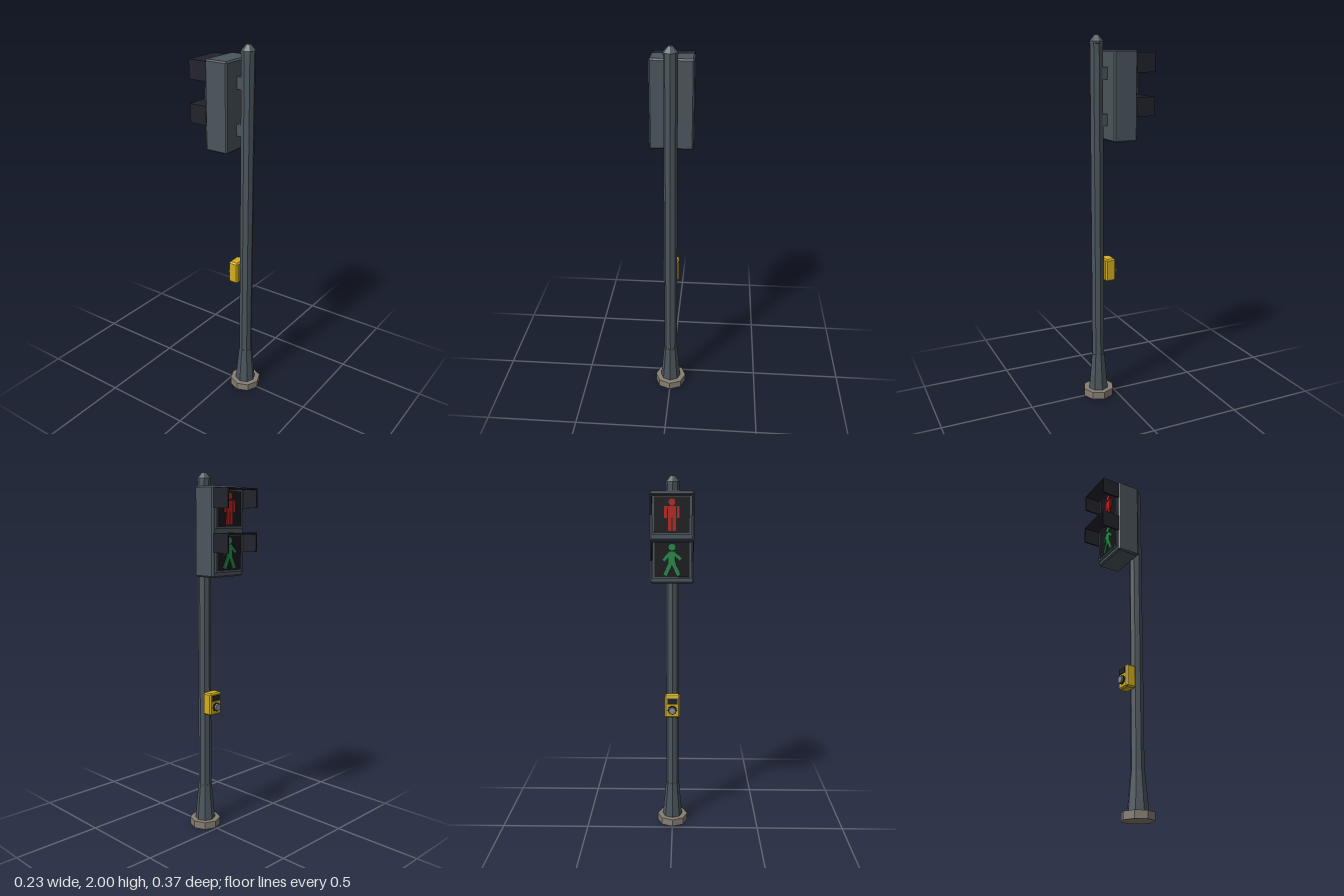
import * as THREE from 'three';
import { ConvexGeometry } from 'three/addons/geometries/ConvexGeometry.js';

function material(name, color) {
  const m = new THREE.MeshStandardMaterial({ color });
  m.name = name;
  return m;
}

// Box with every edge chamfered by c
function chamferBox(w, h, d, c) {
  const points = [];
  for (const x of [-1, 1]) for (const y of [-1, 1]) for (const z of [-1, 1]) {
    for (let axis = 0; axis < 3; axis++) {
      const inset = [0, 1, 2].map((i) => (i === axis ? 0 : c));
      points.push(new THREE.Vector3(x * (w / 2 - inset[0]), y * (h / 2 - inset[1]), z * (d / 2 - inset[2])));
    }
  }
  return new ConvexGeometry(points);
}

// Octagonal faceted cylinder
function octagon(rTop, rBottom, h) {
  return new THREE.CylinderGeometry(rTop, rBottom, h, 8).toNonIndexed();
}

export function createModel() {
  const model = new THREE.Group();
  model.name = 'pedestrianSignal';

  const steel = material('steel grey', 0x4a555c);
  const dark = material('hood black', 0x22222d);
  const lens = material('lens black', 0x17171c);
  const concrete = material('concrete', 0x857e73);
  const yellow = material('yellow', 0xd2ae1e);
  const silver = material('silver', 0x8c8f92);
  const red = material('signal red', 0xb5221f);
  const green = material('signal green', 0x238a48);

  function add(parent, name, geometry, mat, x = 0, y = 0, z = 0) {
    geometry.computeVertexNormals();
    const mesh = new THREE.Mesh(geometry, mat);
    mesh.name = name;
    mesh.position.set(x, y, z);
    parent.add(mesh);
    return mesh;
  }
  const box = (w, h, d) => new THREE.BoxGeometry(w, h, d);

  // Post
  const post = new THREE.Group();
  post.name = 'post';
  post.position.z = 0.097;
  model.add(post);
  add(post, 'footing', octagon(0.0875, 0.0875, 0.042), concrete, 0, 0.021);
  add(post, 'postSleeve', octagon(0.038, 0.057, 0.208), steel, 0, 0.146);
  add(post, 'pole', octagon(0.036, 0.036, 1.73), steel, 0, 1.105);
  add(post, 'capRim', octagon(0.038, 0.038, 0.012), steel, 0, 1.964);
  add(post, 'capTip', octagon(0.012, 0.038, 0.03), steel, 0, 1.985);

  // Signal head, turned so its local +z faces the lamps' side
  const head = new THREE.Group();
  head.name = 'signalHead';
  head.rotation.y = Math.PI;
  model.add(head);
  add(head, 'housing', chamferBox(0.228, 0.466, 0.133, 0.008), steel, 0, 1.693, 0.0185);
  for (const y of [1.81, 1.57]) add(head, 'bracket', box(0.054, 0.062, 0.04), steel, 0, y, -0.06);

  // Limb or torso bar between two points of a figure
  function bar(parent, name, mat, x1, y1, x2, y2, width) {
    const length = Math.hypot(x2 - x1, y2 - y1);
    const m = add(parent, name, box(width, length, 0.006), mat, (x1 + x2) / 2, (y1 + y2) / 2);
    m.rotation.z = Math.atan2(x1 - x2, y2 - y1);
  }

  // Figures: each entry is a bar from point to point with a width
  const standing = {
    torso: [0, -0.012, 0, 0.043, 0.042],
    leftArm: [-0.032, -0.016, -0.032, 0.043, 0.014],
    rightArm: [0.032, -0.016, 0.032, 0.043, 0.014],
    leftLeg: [-0.012, -0.08, -0.012, -0.012, 0.018],
    rightLeg: [0.012, -0.08, 0.012, -0.012, 0.018],
  };
  const walking = {
    torso: [0, -0.02, 0, 0.043, 0.034],
    leftArm: [-0.045, -0.004, -0.006, 0.037, 0.015],
    rightArm: [0.045, 0.002, 0.006, 0.037, 0.015],
    leftLeg: [-0.036, -0.08, -0.004, -0.012, 0.019],
    rightLeg: [0.036, -0.08, 0.004, -0.012, 0.019],
  };

  function lamp(name, y, mat, pose) {
    const g = new THREE.Group();
    g.name = name;
    g.position.set(0, y, 0.085);
    head.add(g);

    // Bezel and lens
    const bezel = new THREE.Shape();
    bezel.moveTo(-0.1, -0.1).lineTo(0.1, -0.1).lineTo(0.1, 0.1).lineTo(-0.1, 0.1).closePath();
    const opening = new THREE.Path();
    opening.moveTo(-0.09, -0.09).lineTo(-0.09, 0.09).lineTo(0.09, 0.09).lineTo(0.09, -0.09).closePath();
    bezel.holes.push(opening);
    add(g, 'bezel', new THREE.ExtrudeGeometry(bezel, { depth: 0.01, bevelEnabled: false }), steel);
    add(g, 'lens', box(0.182, 0.182, 0.006), lens, 0, 0, 0.002);

    // Figure
    const figure = new THREE.Group();
    figure.name = 'figure';
    figure.position.z = 0.007;
    g.add(figure);
    const skull = add(figure, 'figureHead', octagon(0.018, 0.018, 0.006), mat, 0, 0.064);
    skull.rotation.x = Math.PI / 2;
    for (const part in pose) bar(figure, part, mat, ...pose[part]);

    // Hood: roof and two cheeks
    add(g, 'hoodRoof', box(0.216, 0.008, 0.104), dark, 0, 0.1, 0.051);
    for (const s of [-1, 1]) add(g, 'hoodCheek', box(0.008, 0.1, 0.104), dark, s * 0.104, 0.054, 0.051);
  }
  lamp('stopLamp', 1.81, red, standing);
  lamp('walkLamp', 1.585, green, walking);

  // Push button box
  const call = new THREE.Group();
  call.name = 'callButton';
  call.rotation.y = Math.PI;
  call.position.set(0, 0.747, 0.036);
  model.add(call);
  add(call, 'buttonBox', chamferBox(0.086, 0.127, 0.06, 0.008), yellow);
  add(call, 'displayPlate', box(0.056, 0.032, 0.006), dark, 0, 0.034, 0.031);
  const ring = add(call, 'buttonRing', octagon(0.026, 0.026, 0.008), dark, 0, -0.017, 0.032);
  const button = add(call, 'button', octagon(0.02, 0.02, 0.02), silver, 0, -0.017, 0.037);
  ring.rotation.x = button.rotation.x = Math.PI / 2;

  return model;
}
